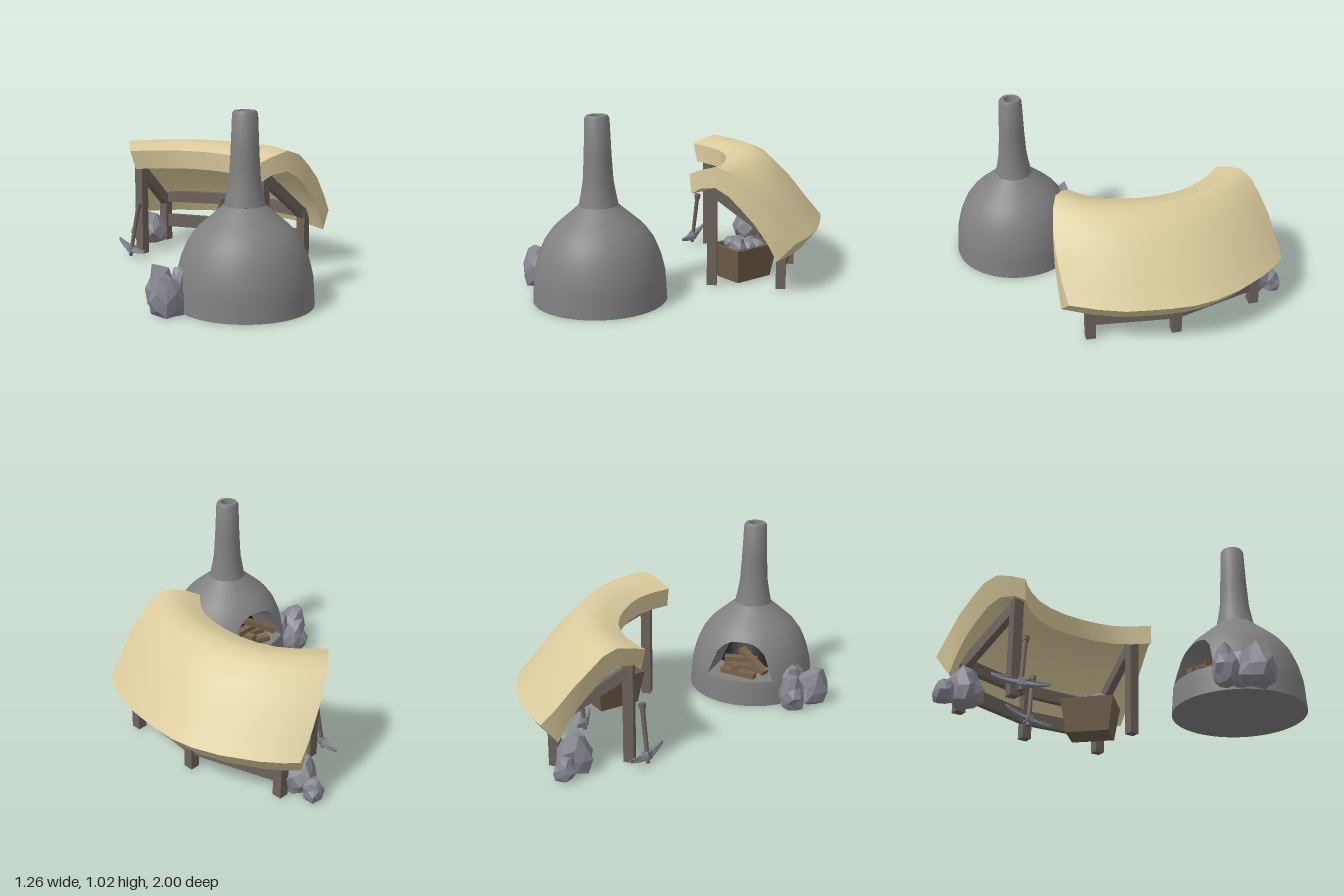
import * as THREE from 'three';
import { toCreasedNormals } from 'three/addons/utils/BufferGeometryUtils.js';

const mat = (color, extra = {}) => new THREE.MeshStandardMaterial({ color, ...extra });
const STONE = mat(0x808080, { side: THREE.DoubleSide });
const SOOT = mat(0x101010, { side: THREE.DoubleSide });
const THATCH = mat(0xdacb9c);
const TIMBER = mat(0x6e645c);
const CRATE = mat(0x6f5e49, { side: THREE.DoubleSide });
const LOG = mat(0x78634a);
const ROCK = mat(0x85858f, { flatShading: true });
const IRON = mat(0x7f828c);

const V = (x, y, z) => new THREE.Vector3(x, y, z);

function add(parent, name, geometry, material, x = 0, y = 0, z = 0) {
  const mesh = new THREE.Mesh(geometry, material);
  mesh.name = name;
  mesh.position.set(x, y, z);
  parent.add(mesh);
  return mesh;
}

// Skin over closed loops of points (top run, then bottom run reversed), optionally capped
function loft(loops, caps) {
  const n = loops[0].length, index = [], last = (loops.length - 1) * n;
  for (let s = 0; s < loops.length - 1; s++) {
    for (let i = 0; i < n; i++) {
      const a = s * n + i, b = s * n + (i + 1) % n;
      index.push(a, a + n, b, b, a + n, b + n);
    }
  }
  if (caps) {
    for (let i = 0; i < n / 2 - 1; i++) {
      const j = n - 1 - i;
      index.push(i, i + 1, j - 1, i, j - 1, j);
      index.push(last + i, last + j - 1, last + i + 1, last + i, last + j, last + j - 1);
    }
  }
  const g = new THREE.BufferGeometry().setFromPoints(loops.flat());
  g.setIndex(index);
  return toCreasedNormals(g, 0.7);
}

// Square timber between two points
function beam(parent, name, a, b, w, h, material = TIMBER) {
  const mesh = add(parent, name, new THREE.BoxGeometry(w, h, a.distanceTo(b)), material);
  mesh.position.copy(a).lerp(b, 0.5);
  mesh.lookAt(b);
}

// Faceted boulder, each corner pushed by a hash of its own position
function rock(parent, x, y, z, rx, ry, rz, seed) {
  const g = new THREE.IcosahedronGeometry(1, 1), p = g.attributes.position;
  for (let i = 0; i < p.count; i++) {
    const v = V(0, 0, 0).fromBufferAttribute(p, i);
    const key = Math.round(v.x * 50) * 12.99 + Math.round(v.y * 50) * 78.23 + Math.round(v.z * 50) * 37.7;
    const h = Math.sin(key + seed * 9.1) * 43758.5;
    v.multiplyScalar(0.76 + 0.36 * (h - Math.floor(h)));
    p.setXYZ(i, v.x * rx, Math.max(v.y * ry, -y), v.z * rz);
  }
  g.computeVertexNormals();
  add(parent, 'rock', g, ROCK, x, y, z);
}

function makeFurnace() {
  const furnace = new THREE.Group();
  furnace.name = 'furnace';
  const profile = [[0.37, 0], [0.36, 0.155], [0.337, 0.25], [0.302, 0.335], [0.25, 0.407], [0.108, 0.53]];
  const radius = y => {
    let i = 0;
    while (i < profile.length - 2 && y > profile[i + 1][1]) i++;
    const [r0, y0] = profile[i], [r1, y1] = profile[i + 1];
    return r0 + (r1 - r0) * (y - y0) / (y1 - y0);
  };
  const SILL = 0.15, HALF = Math.PI * 10 / 54, TOP = 0.53;
  const arch = t => {
    const s = Math.min(1, Math.abs(t) / HALF);
    return s > 0.999 ? SILL : SILL + 0.215 * Math.sqrt(1 - s ** 3);
  };
  const onDome = (t, y) => V(radius(y) * Math.sin(t), y, radius(y) * Math.cos(t));

  // Dome wall: a grid wrapped round the axis, its lower edge lifted over the opening
  const wall = (name, lo, hi, rows) => {
    const g = new THREE.PlaneGeometry(1, 1, 54, rows), { position, normal, uv } = g.attributes;
    for (let i = 0; i < position.count; i++) {
      const t = (uv.getX(i) - 0.5) * Math.PI * 2;
      const y = THREE.MathUtils.lerp(lo(t), hi, uv.getY(i));
      const a = Math.max(0, y - 0.04), b = Math.min(TOP, y + 0.04);
      const n = V(Math.sin(t), -(radius(b) - radius(a)) / (b - a), Math.cos(t)).normalize();
      position.setXYZ(i, ...onDome(t, y).toArray());
      normal.setXYZ(i, n.x, n.y, n.z);
    }
    add(furnace, name, g, STONE);
  };
  wall('domeBase', () => 0, SILL, 3);
  wall('domeUpper', arch, TOP, 14);
  add(furnace, 'domeBottom', new THREE.CircleGeometry(0.37, 54).rotateX(Math.PI / 2), STONE);

  // Firebox behind the arch, with a sooty back
  const ring = [];
  for (let k = -5; k <= 5; k++) ring.push(onDome(k / 5 * HALF, arch(k / 5 * HALF)));
  for (let k = 5; k >= -5; k--) ring.push(onDome(k / 5 * HALF, SILL));
  const moved = d => ring.map(p => V(p.x * 0.85, SILL + (p.y - SILL) * 0.8, p.z - d));
  add(furnace, 'firebox', loft([ring, moved(0.22)]), STONE);
  add(furnace, 'fireboxBack', loft([moved(0.22), moved(0.23)], true), SOOT);

  // Firewood
  const logs = [[-0.12, 0.17, 0.25, 0.09, 0.17, 0.3], [-0.12, 0.17, 0.17, 0.13, 0.17, 0.2],
    [-0.06, 0.205, 0.15, -0.03, 0.205, 0.3], [-0.11, 0.235, 0.23, 0.08, 0.23, 0.2], [-0.02, 0.28, 0.18, 0.15, 0.195, 0.29]];
  for (const l of logs) beam(furnace, 'firewood', V(l[0], l[1], l[2]), V(l[3], l[4], l[5]), 0.045, 0.032, LOG);

  // Flared chimney with a hollow flue
  const flue = [[0.108, 0.53], [0.094, 0.6], [0.083, 0.665], [0.075, 0.8], [0.067, 1.005], [0.058, 1.02],
    [0.038, 1.02], [0.034, 0.99], [0.034, 0.8], [0, 0.8]].map(([r, y]) => new THREE.Vector2(r, y));
  add(furnace, 'chimney', toCreasedNormals(new THREE.LatheGeometry(flue, 20), 0.6), STONE);

  furnace.position.set(-0.03, 0, 0.625);
  furnace.rotation.y = Math.atan2(-0.64, -0.77);
  return furnace;
}

function makeShelter() {
  const shelter = new THREE.Group();
  shelter.name = 'shelter';
  // Curved roof: one arched section carried from the inner to the outer edge line
  const line = pts => new THREE.CatmullRomCurve3(pts.map(([x, z]) => V(x, 0, z)));
  const inner = line([[-0.56, -0.47], [-0.43, -0.475], [-0.26, -0.445], [-0.1, -0.35], [0.03, -0.21], [0.11, -0.07], [0.13, 0.12]]);
  const outer = line([[-0.4, -1], [-0.25, -1], [0.07, -0.915], [0.26, -0.8], [0.4, -0.65], [0.53, -0.48], [0.63, -0.23]]);
  const top = [[0, 0.655], [0.12, 0.69], [0.28, 0.72], [0.42, 0.692], [0.56, 0.615], [0.7, 0.53], [0.86, 0.405], [1, 0.3]];
  const under = [[0.02, 0.545], [0.12, 0.585], [0.27, 0.6], [0.4, 0.56], [0.52, 0.49], [0.64, 0.41], [0.75, 0.31], [0.84, 0.2]];
  const section = [...top, ...under.reverse()];
  const loops = [];
  for (let s = 0; s <= 10; s++) {
    const u = s / 10, a = inner.getPoint(u), b = outer.getPoint(u);
    const along = V(a.z - b.z, 0, b.x - a.x).normalize();
    loops.push(section.map(([t, y], i) => {
      const bow = t * (1 - t) * (0.52 * u - 0.2);
      const inset = i >= top.length ? 0.035 * (1 - u) ** 2 : 0;
      const p = a.clone().lerp(b, t).addScaledVector(along, bow + inset);
      p.y = y - 0.12 * (1 - u) * t * (1 - t);
      return p;
    }));
  }
  add(shelter, 'roof', loft(loops, true), THATCH);

  // Posts stand cornerwise, tied by rafters and rails
  const P = { innerA: V(-0.49, 0, -0.53), innerB: V(0.18, 0, -0.005), outerA: V(-0.31, 0, -0.88), mid: V(0.165, 0, -0.636), outerB: V(0.478, 0, -0.265) };
  const up = (p, y) => V(p.x, y, p.z);
  const post = (name, p, h) => {
    add(shelter, name, new THREE.BoxGeometry(0.056, h, 0.056), TIMBER, p.x, h / 2, p.z).rotation.y = Math.PI / 4;
  };
  post('innerPost', P.innerA, 0.56);
  post('innerPost', P.innerB, 0.58);
  for (const k of ['outerA', 'mid', 'outerB']) post('outerPost', P[k], 0.29);
  beam(shelter, 'rafter', up(P.innerA, 0.53), up(P.outerA, 0.26), 0.045, 0.06);
  beam(shelter, 'rafter', up(P.innerB, 0.56), up(P.outerB, 0.27), 0.045, 0.06);
  for (const k of ['outerA', 'outerB']) {
    beam(shelter, 'lowerRail', up(P[k], 0.13), up(P.mid, 0.13), 0.035, 0.08);
    beam(shelter, 'upperRail', up(P[k], 0.29), up(P.mid, 0.3), 0.04, 0.07);
  }
  return shelter;
}

function makeCrate() {
  const crate = new THREE.Group();
  crate.name = 'oreCrate';
  const rect = (w, d, y) => [V(-w, y, -d), V(w, y, -d), V(w, y, d), V(-w, y, d)];
  // Outside, rim, inside and floor of the tapered crate
  const loops = [rect(0.09, 0.125, 0), rect(0.12, 0.155, 0.2), rect(0.1, 0.135, 0.2), rect(0.085, 0.115, 0.1)];
  add(crate, 'crateBody', loft(loops, true), CRATE);
  for (let i = 0; i < 6; i++) {
    const x = (i % 2 - 0.5) * 0.09, z = (i - 2.5) * 0.036;
    rock(crate, x, 0.165 + i * 0.008, z, 0.055, 0.055, 0.05, i + 3);
  }
  crate.position.set(0.18, 0, -0.25);
  return crate;
}

function makePickaxe() {
  const pick = new THREE.Group();
  pick.name = 'pickaxe';
  add(pick, 'handle', new THREE.CylinderGeometry(0.014, 0.012, 0.33, 8), TIMBER, 0, 0.165, 0);
  add(pick, 'handleKnob', new THREE.CylinderGeometry(0.021, 0.019, 0.028, 8), TIMBER, 0, 0.32, 0);
  add(pick, 'headSocket', new THREE.BoxGeometry(0.042, 0.045, 0.04), IRON, 0, 0.045, 0);
  // Crescent head, narrowing sideways to its tips
  const s = new THREE.Shape();
  s.moveTo(-0.16, 0.075);
  s.lineTo(-0.157, 0.058);
  s.quadraticCurveTo(0, 0, 0.157, 0.058);
  s.lineTo(0.16, 0.075);
  s.quadraticCurveTo(0, 0.045, -0.16, 0.075);
  const head = new THREE.ExtrudeGeometry(s, { depth: 0.04, bevelEnabled: false, curveSegments: 8 }).translate(0, 0, -0.02);
  const p = head.attributes.position;
  for (let i = 0; i < p.count; i++) p.setZ(i, p.getZ(i) * (1 - 5 * Math.abs(p.getX(i))));
  head.computeVertexNormals();
  add(pick, 'head', head, IRON);
  return pick;
}

export function createModel() {
  const model = new THREE.Group();
  model.name = 'smeltingCamp';
  model.add(makeFurnace(), makeShelter(), makeCrate());

  // Rock piles: beside the furnace and behind the shelter
  rock(model, -0.465, 0.09, 0.59, 0.085, 0.14, 0.08, 1);
  rock(model, -0.46, 0.08, 0.75, 0.105, 0.15, 0.105, 2);
  rock(model, -0.38, 0.1, 0.67, 0.06, 0.13, 0.09, 8);
  rock(model, -0.475, 0.05, -0.91, 0.06, 0.08, 0.065, 4);
  rock(model, -0.41, 0.08, -0.82, 0.1, 0.15, 0.105, 5);

  // Leaning pickaxes
  for (const [x, z, turn, lean] of [[-0.57, -0.465, -1.12, -0.17], [-0.05, -0.56, -0.7, -0.2]]) {
    const pick = makePickaxe();
    pick.position.set(x, 0, z);
    pick.rotation.set(0, turn, lean, 'ZYX');
    model.add(pick);
  }
  return model;
}
